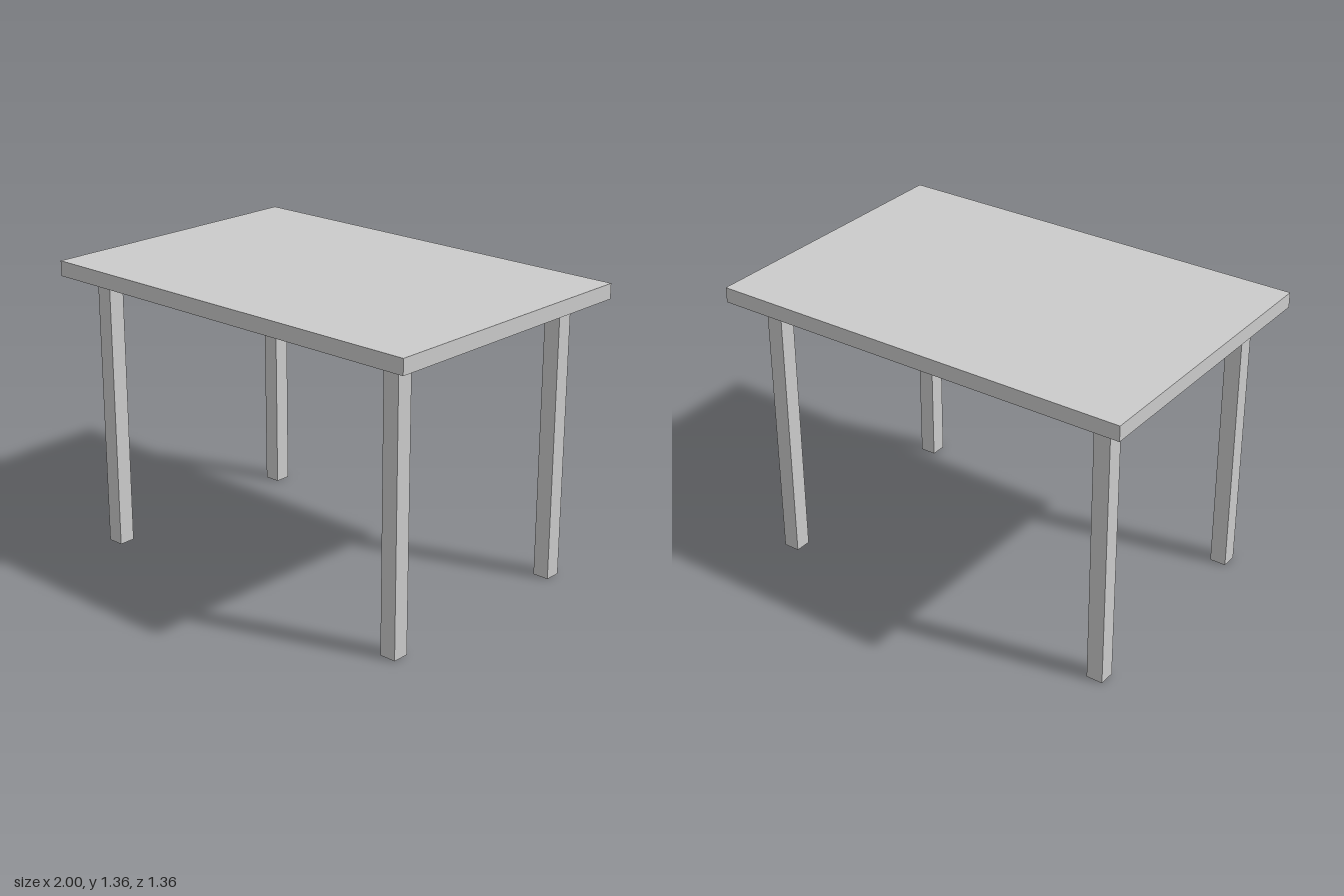
import * as THREE from 'three';

const TOP = { width: 2, thickness: 0.07, depth: 1.36 };
const LEG = { side: 0.077, height: 1.29 };

export function createModel() {
  const table = new THREE.Group();
  table.name = 'table';
  const material = new THREE.MeshStandardMaterial({ color: 0xcccccc, flatShading: true });

  // Tabletop slab
  const top = new THREE.Mesh(new THREE.BoxGeometry(TOP.width, TOP.thickness, TOP.depth), material);
  top.name = 'tabletop';
  top.position.y = LEG.height + TOP.thickness / 2;
  table.add(top);

  // Four square legs, set in from the corners
  const legGeometry = new THREE.BoxGeometry(LEG.side, LEG.height, LEG.side);
  for (const [xName, x] of [['Left', 0.842], ['Right', -0.848]]) {
    for (const [zName, z] of [['front', 0.527], ['back', -0.522]]) {
      const leg = new THREE.Mesh(legGeometry, material);
      leg.name = `${zName}${xName}Leg`;
      leg.position.set(x, LEG.height / 2, z);
      table.add(leg);
    }
  }
  return table;
}
